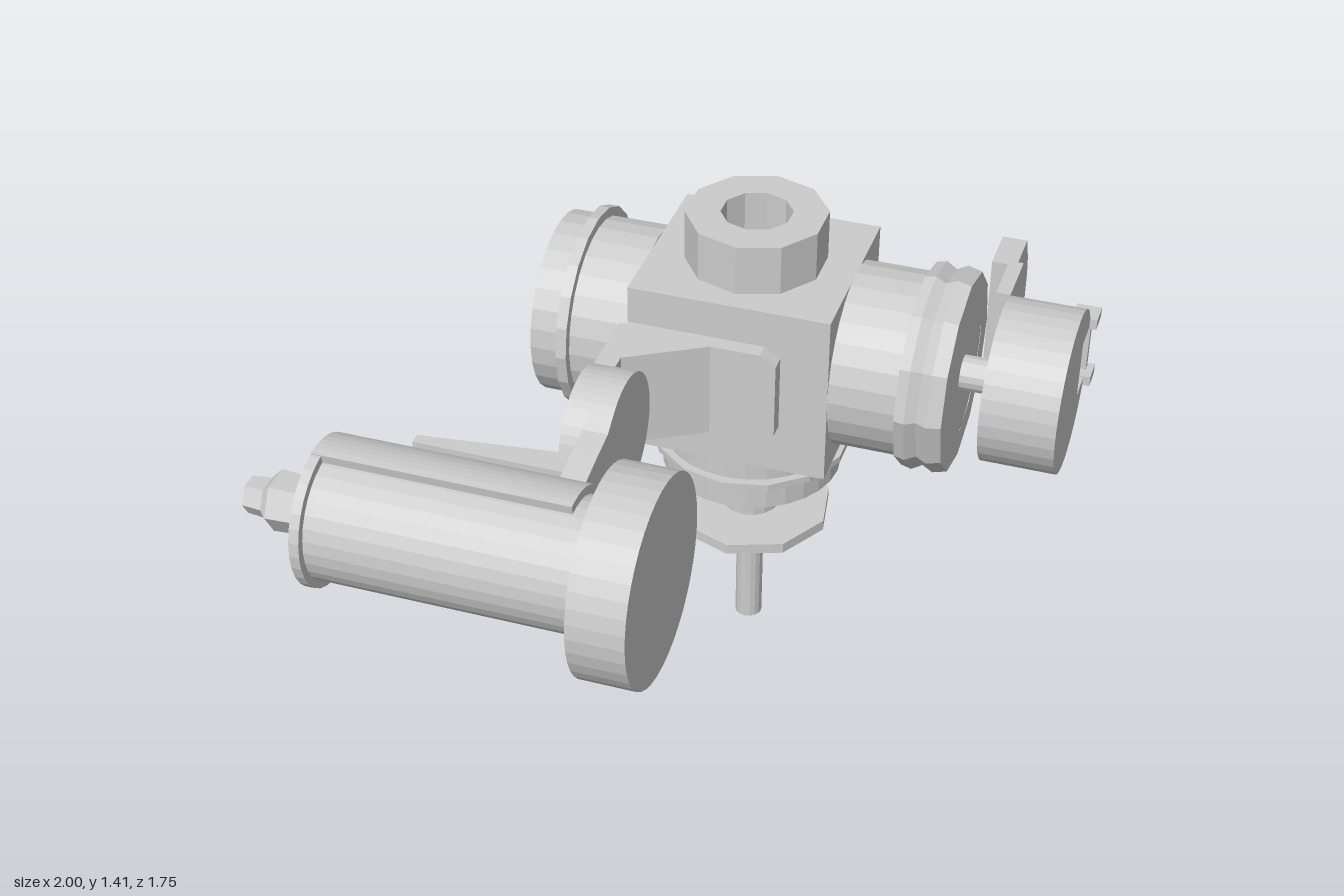
import * as THREE from 'three';

const CX = 0.075, CY = 1.01, CZ = -0.43; // centre of the hollow housing

export function createModel() {
  const model = new THREE.Group();
  const mat = new THREE.MeshStandardMaterial({ color: 0xcccccc, flatShading: true, side: THREE.DoubleSide });

  const add = (name, geo, x = 0, y = 0, z = 0) => {
    const mesh = new THREE.Mesh(geo, mat);
    mesh.name = name;
    mesh.position.set(x, y, z);
    model.add(mesh);
    return mesh;
  };
  // box given by its min and max corners
  const box = (name, a, b) => add(name,
    new THREE.BoxGeometry(b[0] - a[0], b[1] - a[1], b[2] - a[2]),
    (a[0] + b[0]) / 2, (a[1] + b[1]) / 2, (a[2] + b[2]) / 2);
  // turned part: profile of [radius, height] pairs
  const turn = (profile, sides) =>
    new THREE.LatheGeometry(profile.map(p => new THREE.Vector2(...p)), sides);
  const turnY = (name, profile, sides) => add(name, turn(profile, sides), CX, 0, CZ);
  const turnX = (name, profile, sides, y = CY, z = CZ) =>
    add(name, turn(profile, sides).rotateZ(-Math.PI / 2), 0, y, z);
  const rod = (r, a, b) => [[0, a], [r, a], [r, b], [0, b]];
  const tube = (ri, r, a, b) => [[ri, a], [r, a], [r, b], [ri, b], [ri, a]];

  const poly = pts => new THREE.Shape(pts.map(p => new THREE.Vector2(...p)));
  const circle = (x, y, r, n = 24) => {
    const p = new THREE.Path();
    for (let i = 0; i < n; i++) {
      const a = i / n * Math.PI * 2;
      p[i ? 'lineTo' : 'moveTo'](x + r * Math.cos(a), y + r * Math.sin(a));
    }
    p.closePath();
    return p;
  };
  const extrude = (shape, depth) => new THREE.ExtrudeGeometry(shape, { depth, bevelEnabled: false, curveSegments: 16 });
  // outline in (-z, y), swept along x
  const sweepX = (name, shape, x0, x1) => add(name, extrude(shape, x1 - x0).rotateY(Math.PI / 2), x0);
  // outline in (x, -z), swept along y
  const sweepY = (name, shape, y0, y1) => add(name, extrude(shape, y1 - y0).rotateX(-Math.PI / 2), 0, y0);
  // round cover with a central opening and a ring of bolt holes
  const boltedDisc = (x, y, r, inner, innerSides) => {
    const s = new THREE.Shape(circle(x, y, r, 32).getPoints());
    s.holes.push(circle(x, y, inner, innerSides));
    for (let i = 0; i < 8; i++) {
      const a = (i + 0.5) / 8 * Math.PI * 2;
      s.holes.push(circle(x + 0.17 * Math.cos(a), y + 0.17 * Math.sin(a), 0.02, 8));
    }
    return s;
  };

  // Hollow housing, open at the back, with a bore through four walls
  const wall = (u0, v0, u1, v1, hu, hv) => {
    const s = poly([[u0, v0], [u1, v0], [u1, v1], [u0, v1]]);
    s.holes.push(circle(hu, hv, 0.1));
    return s;
  };
  for (const [y0, y1] of [[0.75, 0.8], [1.215, 1.265]])
    sweepY('housingFloorOrRoof', wall(-0.21, 0.17, 0.36, 0.69, CX, -CZ), y0, y1);
  for (const [x0, x1] of [[-0.21, -0.16], [0.31, 0.36]])
    sweepX('housingSide', wall(0.17, 0.8, 0.69, 1.215, -CZ, CY), x0, x1);
  box('housingFront', [-0.16, 0.8, -0.22], [0.31, 1.215, -0.17]);

  // Faceted top port
  turnY('topPort', tube(0.1, 0.198, 1.265, 1.41), 10);

  // Right drum with bolted end
  turnX('rightDrum', tube(0.1, 0.26, -0.46, -0.21), 28);
  turnX('rightDrumRim', tube(0.225, 0.26, -0.5, -0.46), 28);
  sweepX('rightDrumCover', boltedDisc(-CZ, CY, 0.226, 0.1, 6), -0.49, -0.46);
  turnX('rightDrumRing', tube(0.25, 0.288, -0.415, -0.385), 20);

  // Left drum with its ring and drive shaft
  turnX('leftDrum', tube(0.1, 0.26, 0.36, 0.66), 28);
  turnX('leftDrumRing', [[0.2, 0.55], [0.285, 0.55], [0.292, 0.58], [0.275, 0.61], [0.29, 0.64], [0.28, 0.68], [0.2, 0.68]], 12);
  turnX('leftDrumCover', rod(0.22, 0.63, 0.675), 24);
  turnX('driveShaft', rod(0.05, 0.6, 0.78), 16);

  // Handwheel with a notch towards the back
  const knob = new THREE.Shape();
  const a = Math.asin(0.085 / 0.23);
  knob.moveTo(0.54, CY + 0.085);
  knob.lineTo(-CZ + 0.23 * Math.cos(a), CY + 0.085);
  knob.absarc(-CZ, CY, 0.23, a, Math.PI * 2 - a, false);
  knob.lineTo(0.54, CY - 0.085);
  sweepX('handwheel', knob, 0.77, 0.98);
  box('clipBar', [0.94, 0.92, -0.69], [0.98, 1.1, -0.665]);
  for (const y of [0.9, 1.09])
    box('clipLug', [0.93, y, -0.7], [1, y + 0.03, -0.63]);

  // Wing plate behind the handwheel
  sweepX('wingPlate', poly([[0.68, 0.8], [0.82, 0.8], [0.86, 0.88], [0.875, 0.95], [0.875, 1.08], [0.86, 1.14], [0.82, 1.22], [0.68, 1.22]]), 0.685, 0.755);
  sweepX('wingPlateRoot', poly([[0.53, 0.8], [0.7, 0.8], [0.7, 1.22], [0.53, 1.22]]), 0.73, 0.77);

  // Bottom flange, stem, collar and rod
  turnY('bottomFlange', tube(0.1, 0.26, 0.61, 0.75), 28);
  turnY('bottomRim', tube(0.225, 0.26, 0.59, 0.61), 28);
  sweepY('bottomCover', boltedDisc(CX, -CZ, 0.226, 0.08, 16), 0.597, 0.612);
  turnY('bottomRing', tube(0.25, 0.288, 0.67, 0.69), 14);
  turnY('stem', rod(0.085, 0.42, 0.76), 16);
  turnY('collarDisc', rod(0.238, 0.395, 0.427), 9);
  turnY('collarNut', [[0, 0.32], [0.072, 0.32], [0.09, 0.4], [0, 0.4]], 6);
  turnY('lowerRod', rod(0.04, 0, 0.33), 16);
  box('rodPin', [0.06, 0.2, -0.48], [0.09, 0.225, -0.46]);

  // Mounting plate with a wedge running into the first arm
  const plate = poly([[-0.21, 0.87], [0.18, 0.87], [0.225, 0.9], [0.225, 1.125], [0.18, 1.155], [-0.21, 1.155]]);
  add('mountPlate', extrude(plate, 0.045), 0, 0, -0.17);
  sweepY('mountWedge', poly([[-0.23, 0.16], [0.04, 0.16], [0.04, 0.125], [-0.17, 0], [-0.23, 0]]), 0.87, 1.155);

  // Two overlapping arm links
  const link = new THREE.Shape();
  link.moveTo(0.16, 0.87);
  link.lineTo(0.16, 1.155);
  link.lineTo(0, 1.155);
  link.absarc(-0.15, CY, 0.178, 0.95, Math.PI * 2 - 0.9, false);
  link.lineTo(0, 0.87);
  sweepX('innerArm', link, -0.23, -0.17);
  const outer = new THREE.Shape();
  outer.moveTo(-0.47, 1.09);
  outer.lineTo(-0.38, 1.11);
  outer.lineTo(-0.3, 1.125);
  outer.absarc(-0.15, CY, 0.18, 2.2, -2.1, true);
  outer.lineTo(-0.31, 0.89);
  outer.lineTo(-0.4, 0.85);
  outer.lineTo(-0.47, 0.85);
  sweepX('outerArm', outer, -0.17, -0.1);

  // Motor on the outer arm: body, half-shell cradle, end disc
  const MY = 0.925, MZ = 0.59;
  turnX('motorBody', rod(0.182, -0.79, 0), 32, MY, MZ);
  turnX('motorLip', rod(0.205, -0.79, -0.762), 32, MY, MZ);
  turnX('motorDisc', rod(0.285, -0.012, 0.145), 40, MY, MZ);
  const cradle = new THREE.Shape();
  cradle.absarc(-MZ, MY, 0.207, -1.72, 1.72, false);
  cradle.absarc(-MZ, MY, 0.175, 1.72, -1.72, true);
  sweepX('motorCradle', cradle, -0.79, -0.08);
  sweepY('cradleGusset', poly([[-0.6, -0.42], [-0.6, -0.388], [-0.17, -0.335], [-0.17, -0.42]].reverse()), 0.88, 1.07);

  // Motor tail shaft and faceted knob
  turnX('tailShaft', rod(0.03, -0.85, -0.78), 12, MY, MZ);
  turnX('tailKnob', [[0, -1], [0.05, -1], [0.055, -0.945], [0.083, -0.92], [0.078, -0.825], [0, -0.825]], 6, MY, MZ);

  return model;
}
